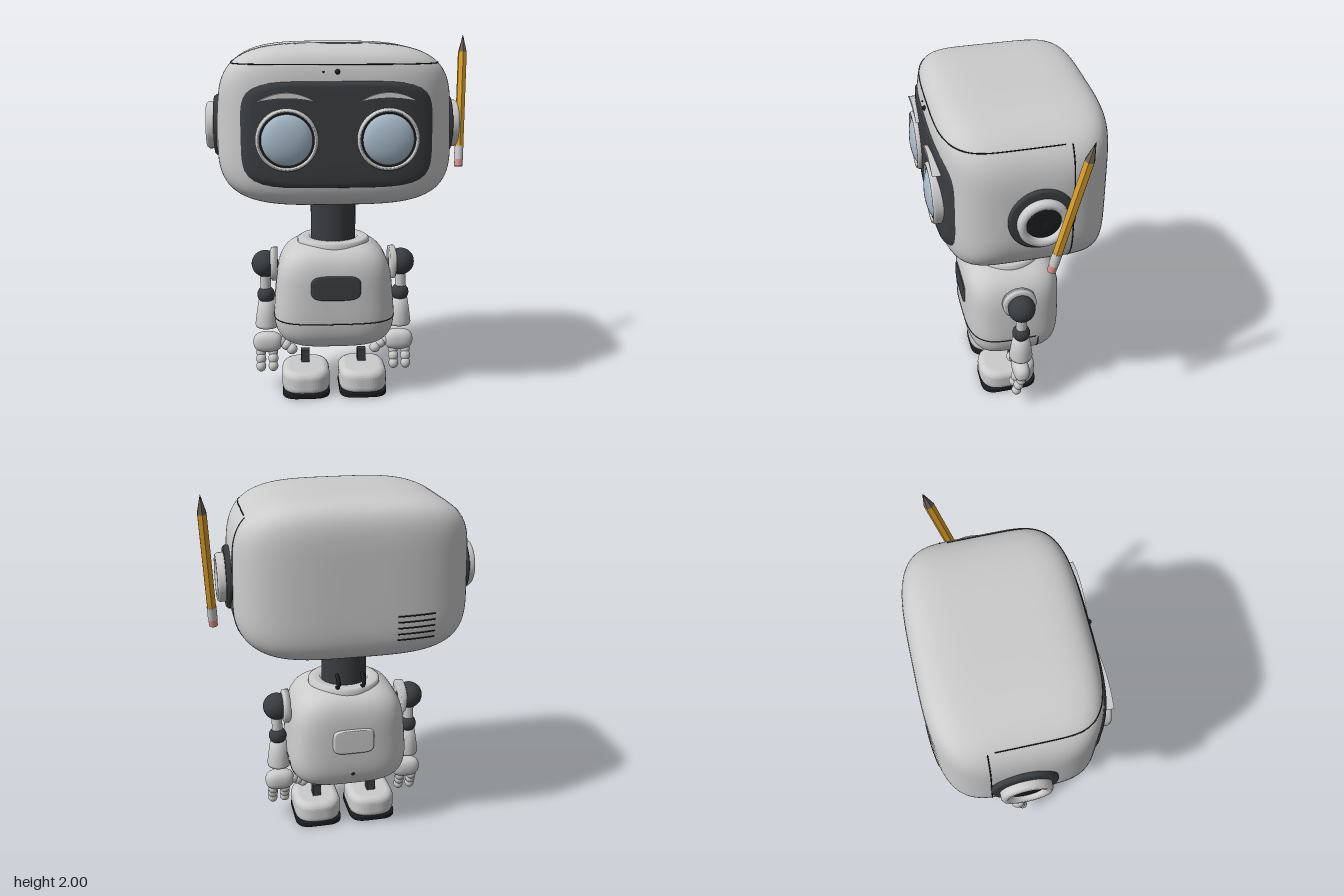
import * as THREE from 'three';
import { mergeVertices } from 'three/addons/utils/BufferGeometryUtils.js';

const V = (x, y, z) => new THREE.Vector3(x, y, z);
const paint = (color, side = THREE.FrontSide) => new THREE.MeshStandardMaterial({ color, side });
const grey = paint(0xcccccc), dark = paint(0x3a3d40), black = paint(0x1c1d1f);
const CX = -0.045; // the robot's own middle plane

// Soft boxes: (|y|^m + |z|^m)^(n/m) + |x|^n = 1, narrowing upward by t
const HEAD = { x: CX, y: 1.55, z: -0.025, a: 0.62, b: 0.42, c: 0.43, n: 3.7, m: 6, t: 0.02 };
const BODY = { x: CX, y: 0.59, z: -0.015, a: 0.33, b: 0.3, c: 0.272, n: 3.6, m: 4, t: 0.08 };

function add(parent, name, geometry, material, x = 0, y = 0, z = 0) {
  const mesh = new THREE.Mesh(geometry, material);
  mesh.name = name;
  mesh.position.set(x, y, z);
  parent.add(mesh);
  return mesh;
}

function softBox(s, seg = 32) {
  let g = new THREE.BoxGeometry(2, 2, 2, seg, seg, seg);
  const p = g.attributes.position;
  for (let i = 0; i < p.count; i++) {
    const v = V().fromBufferAttribute(p, i);
    const yz = Math.abs(v.y) ** s.m + Math.abs(v.z) ** s.m;
    v.divideScalar((yz ** (s.n / s.m) + Math.abs(v.x) ** s.n) ** (1 / s.n));
    p.setXYZ(i, s.x + v.x * s.a * (1 - s.t * v.y), s.y + v.y * s.b, s.z + v.z * s.c);
  }
  g.deleteAttribute('uv');
  g.deleteAttribute('normal');
  g = mergeVertices(g, 1e-5);
  g.computeVertexNormals();
  return g;
}

// Half depth and half width of a soft box at a given place
function depth(s, x, y) {
  const v = (y - s.y) / s.b, u = Math.abs(x - s.x) / (s.a * (1 - s.t * v));
  const rest = Math.max(0, 1 - u ** s.n) ** (s.m / s.n) - Math.abs(v) ** s.m;
  return s.c * Math.max(0, rest) ** (1 / s.m);
}
function width(s, y, z) {
  const v = (y - s.y) / s.b, w = Math.abs(z - s.z) / s.c;
  const yz = Math.abs(v) ** s.m + w ** s.m;
  return s.a * (1 - s.t * v) * Math.max(0, 1 - yz ** (s.n / s.m)) ** (1 / s.n);
}

const line = (pts, r, seg = 120) => new THREE.TubeGeometry(new THREE.CatmullRomCurve3(pts), seg, r, 6);

// Shell joints: level in front of zCut, upright below the level one
function seams(parent, s, y, zCut) {
  const level = [], upright = [];
  const half = width(s, y, s.z), tall = s.b * (1 - (Math.abs(zCut - s.z) / s.c) ** s.m) ** (1 / s.m);
  for (let i = 0; i <= 160; i++) {
    const a = -Math.PI / 2 + (i / 160) * Math.PI * 2;
    const x = s.x + half * Math.cos(a), z = s.z + Math.sign(Math.sin(a)) * depth(s, x, y);
    if (z > zCut) level.push(V(x, y, z));
    const h = s.y - tall * Math.sin(a - Math.PI / 2 + Math.PI / 2 + Math.PI);
    const b = a + Math.PI, yy = s.y + tall * Math.sin(b);
    if (yy < y && Number.isFinite(h)) upright.push(V(s.x + Math.sign(Math.cos(b)) * width(s, yy, zCut), yy, zCut));
  }
  add(parent, 'levelSeam', line(level, 0.003), black);
  add(parent, 'uprightSeam', line(upright, 0.003), black);
}

// Rounded panel lying on the front (+1) or back (-1) of a soft box
function panel(s, x, y, w, h, power, lift, sign = 1) {
  const g = new THREE.RingGeometry(0.001, 1, 72, 14), p = g.attributes.position;
  for (let i = 0; i < p.count; i++) {
    const u = p.getX(i), v = p.getY(i), r = Math.hypot(u, v), cu = u / r, cv = v / r;
    const k = r / (Math.abs(cu) ** power + Math.abs(cv) ** power) ** (1 / power);
    const px = x + sign * w * k * cu, py = y + h * k * cv;
    p.setXYZ(i, px, py, s.z + sign * (depth(s, px, py) + (r > 0.99 ? -0.015 : lift)));
  }
  g.computeVertexNormals();
  return g;
}

const lathe = (pts) => new THREE.LatheGeometry(pts.map(([r, y]) => new THREE.Vector2(r, y)), 48);
const ball = (r) => new THREE.SphereGeometry(r, 24, 16);

function buildHead() {
  const head = new THREE.Group();
  head.name = 'head';
  add(head, 'headShell', softBox(HEAD), grey);
  seams(head, HEAD, 1.87, -0.205);
  add(head, 'faceScreen', panel(HEAD, CX, 1.52, 0.508, 0.28, 5, 0.012), dark);
  add(head, 'camera', ball(0.013), black, CX, 1.835, 0.4);
  add(head, 'sensor', ball(0.005), black, CX - 0.07, 1.835, 0.4);

  // Brow: arched above, flatter below
  const brow = new THREE.Shape();
  brow.moveTo(-0.145, -0.02);
  brow.quadraticCurveTo(0, 0.07, 0.145, -0.02);
  brow.quadraticCurveTo(0, 0.015, -0.145, -0.02);
  for (const side of [-1, 1]) {
    const eye = new THREE.Group();
    eye.name = side > 0 ? 'leftEye' : 'rightEye';
    eye.position.set(CX + side * 0.255, 1.5, 0);
    head.add(eye);
    const rim = lathe([[0.158, 0.34], [0.158, 0.425], [0.15, 0.44], [0.142, 0.44], [0.134, 0.415], [0.134, 0.38]]);
    add(eye, 'eyeRim', rim.rotateX(Math.PI / 2), paint(0xcccccc, THREE.DoubleSide));
    add(eye, 'eyeRing', new THREE.TorusGeometry(0.136, 0.008, 8, 48), black, 0, 0, 0.422);
    add(eye, 'lens', ball(0.135), paint(0xa9bccb), 0, 0, 0.41).scale.z = 0.37;
    const arch = new THREE.ExtrudeGeometry(brow, { depth: 0.06, bevelEnabled: false, curveSegments: 20 });
    add(eye, 'brow', arch, grey, 0, 0.21, 0.375);

    const ear = new THREE.Group();
    ear.name = side > 0 ? 'leftEar' : 'rightEar';
    ear.position.set(CX, 1.525, -0.045);
    ear.rotation.z = -side * Math.PI / 2;
    head.add(ear);
    add(ear, 'earPad', lathe([[0.165, 0.55], [0.165, 0.63], [0.155, 0.642], [0, 0.642]]), dark);
    add(ear, 'earRing', lathe([[0.128, 0.63], [0.128, 0.672], [0.118, 0.685], [0.098, 0.685], [0.087, 0.672], [0.087, 0.63]]), grey);
    add(ear, 'earCap', lathe([[0.086, 0.63], [0.086, 0.655], [0.075, 0.662], [0.012, 0.662], [0, 0.655]]), black);
  }

  // Vent slots on the back
  for (let i = 0; i < 5; i++) {
    const y = 1.26 + i * 0.032, pts = [];
    for (let x = -0.43; x < -0.22; x += 0.04) pts.push(V(x, y, HEAD.z - depth(HEAD, x, y)));
    add(head, 'vent', line(pts, 0.004, 16), black);
  }
  return head;
}

function buildBody() {
  const body = new THREE.Group();
  body.name = 'body';
  add(body, 'bodyShell', softBox(BODY), grey);
  seams(body, BODY, 0.465, -0.13);
  add(body, 'chestPanel', panel(BODY, CX, 0.67, 0.143, 0.072, 4, 0.006), dark);
  add(body, 'backHatch', panel(BODY, CX, 0.62, 0.12, 0.075, 5, 0.012, -1), grey);
  add(body, 'backPort', ball(0.01), black, CX, 0.41, -0.275);
  add(body, 'neck', new THREE.CylinderGeometry(0.125, 0.125, 0.26, 40), dark, CX, 1.0, -0.018);
  add(body, 'neckPlate', new THREE.CylinderGeometry(0.16, 0.16, 0.03, 40), grey, CX, 1.123, -0.018);
  add(body, 'collar', lathe([[0.2, 0.86], [0.2, 0.89], [0.185, 0.9], [0.135, 0.9], [0.125, 0.88]]), grey, CX, 0, -0.018);
  for (const dx of [-0.07, 0.07]) {
    const x = CX + dx;
    const hook = [V(x, 0.88, -0.13), V(x, 0.9, -0.18), V(x, 0.93, -0.215), V(x, 0.955, -0.205), V(x, 0.97, -0.165)];
    add(body, 'cable', line(hook, 0.012, 24), black);
  }
  return body;
}

// Arm, hip and foot of the model's left; mirrored for the right
function buildLimbs() {
  const limbs = new THREE.Group(), z = -0.015;
  const plate = lathe([[0, -0.02], [0.095, -0.02], [0.095, 0.012], [0.08, 0.02], [0, 0.02]]);
  add(limbs, 'shoulderPlate', plate.rotateZ(-Math.PI / 2), grey, 0.335, 0.74, z);
  add(limbs, 'shoulder', ball(0.076), dark, 0.385, 0.742, z);
  add(limbs, 'upperArm', new THREE.CylinderGeometry(0.03, 0.03, 0.14, 20), grey, 0.385, 0.63, z);
  add(limbs, 'elbow', ball(0.05), dark, 0.383, 0.56, z);
  add(limbs, 'forearm', lathe([[0, 0.365], [0.062, 0.37], [0.067, 0.385], [0.06, 0.44], [0.047, 0.525], [0, 0.535]]), grey, 0.38, 0, z);
  add(limbs, 'palm', softBox({ x: 0.378, y: 0.273, z, a: 0.083, b: 0.06, c: 0.048, n: 2.6, m: 2.4, t: 0 }, 12), grey);
  // Fingers and thumb: chains of beads
  for (const x of [0.348, 0.418]) {
    [[0.212, -0.01, 0.028], [0.178, 0.005, 0.029], [0.138, 0.018, 0.028]].forEach(([y, fz, r]) =>
      add(limbs, 'finger', ball(r), grey, x, y, fz).scale.set(1, 1.15, 1));
  }
  [[0.302, 0.27, 0.03], [0.272, 0.255, 0.03], [0.24, 0.233, 0.031]].forEach(([x, y, r], i) =>
    add(limbs, 'thumb', ball(r), grey, x, y, z + 0.01 * i));

  add(limbs, 'hip', ball(0.065), dark, 0.15, 0.33, -0.01);
  add(limbs, 'ankle', new THREE.BoxGeometry(0.048, 0.1, 0.05), dark, 0.163, 0.17, -0.02);
  // Foot: rounded outline, softened top edge, dark sole
  const outline = (w, d, r) => {
    const s = new THREE.Shape();
    s.moveTo(w, d - r).quadraticCurveTo(w, d, w - r, d).lineTo(r - w, d).quadraticCurveTo(-w, d, -w, d - r);
    s.lineTo(-w, r - d).quadraticCurveTo(-w, -d, r - w, -d).lineTo(w - r, -d).quadraticCurveTo(w, -d, w, r - d);
    return s;
  };
  const slab = (w, d, h, bevel) => new THREE.ExtrudeGeometry(outline(w - bevel, d - bevel, 0.08), {
    depth: h - 2 * bevel, bevelSize: bevel, bevelThickness: bevel, bevelSegments: 6, curveSegments: 12,
  }).translate(0, 0, bevel).rotateX(-Math.PI / 2);
  add(limbs, 'shoe', slab(0.135, 0.168, 0.135, 0.04), grey, 0.162, 0.015, 0.022);
  add(limbs, 'sole', slab(0.134, 0.166, 0.032, 0.006), black, 0.162, 0, 0.022);
  return limbs;
}

function buildPencil() {
  const pencil = new THREE.Group();
  pencil.name = 'pencil';
  const base = V(0.668, 1.275, -0.075), tip = V(0.706, 2, -0.24);
  pencil.position.copy(base);
  pencil.quaternion.setFromUnitVectors(V(0, 1, 0), tip.clone().sub(base).normalize());
  const len = tip.distanceTo(base);
  const piece = (name, from, to, r0, r1, sides, color) => {
    const m = paint(color);
    m.flatShading = sides === 6;
    add(pencil, name, new THREE.CylinderGeometry(r1, r0, to - from, sides), m, 0, (from + to) / 2, 0);
  };
  piece('eraser', 0, 0.045, 0.023, 0.023, 20, 0xd9938c);
  piece('ferrule', 0.04, 0.115, 0.025, 0.025, 20, 0xcccccc);
  piece('shaft', 0.11, len - 0.1, 0.026, 0.026, 6, 0xdca02a);
  piece('woodCone', len - 0.1, len - 0.025, 0.026, 0.007, 6, 0x6b6253);
  piece('lead', len - 0.025, len, 0.007, 0.0005, 6, 0x2a2a2a);
  return pencil;
}

export function createModel() {
  const model = new THREE.Group();
  model.name = 'robot';
  model.add(buildHead(), buildBody(), buildPencil());
  for (const side of [1, -1]) {
    const limbs = buildLimbs();
    limbs.name = side > 0 ? 'leftLimbs' : 'rightLimbs';
    limbs.position.x = CX;
    limbs.scale.x = side;
    model.add(limbs);
  }
  return model;
}
